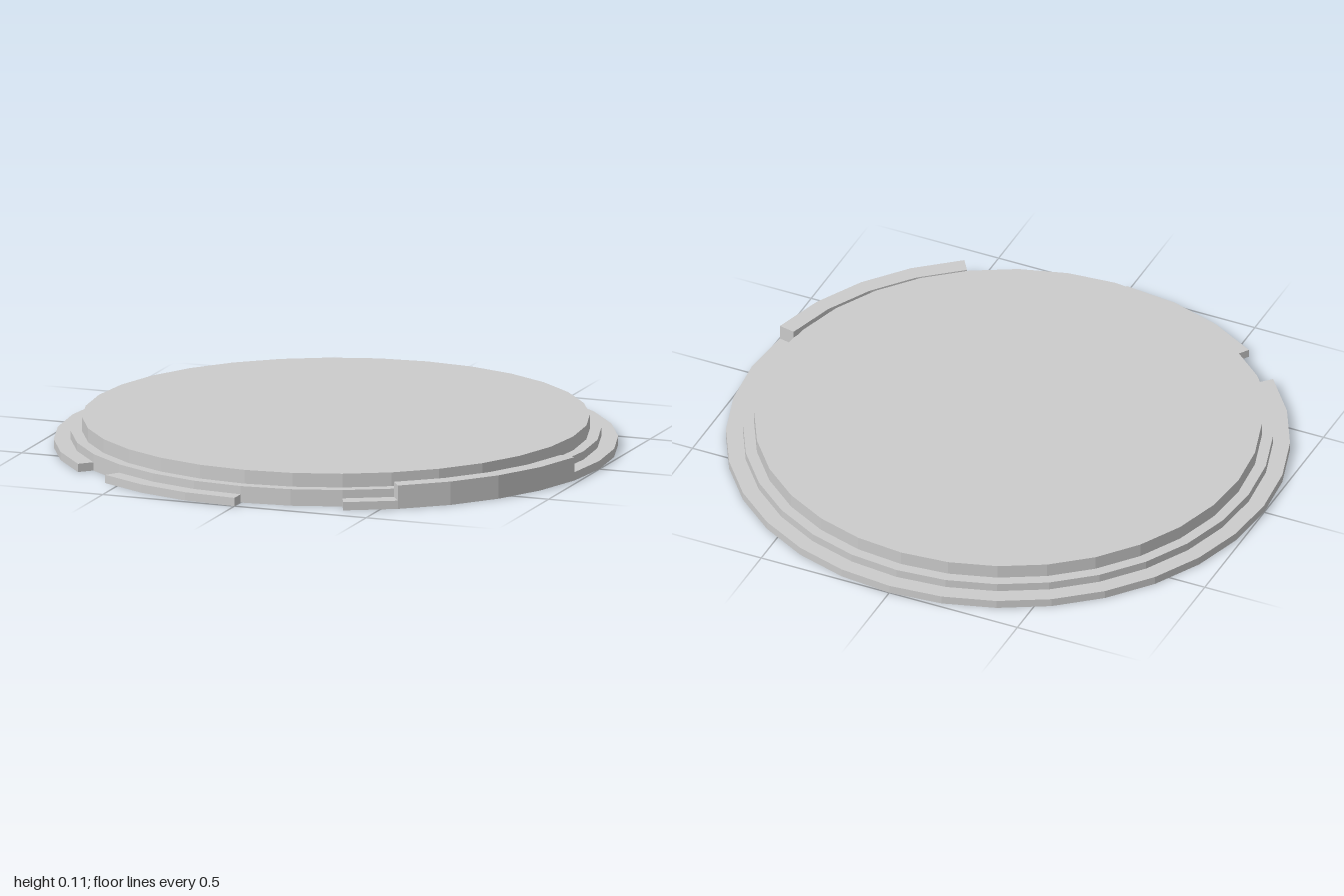
import * as THREE from 'three';

const SIDES = 32;
const STEP = (Math.PI * 2) / SIDES;
const R_TOP = 0.9, R_MID = 0.94, R_OUT = 1;
const Y_TOP = 0.11, Y_MID = 0.06, Y_FLANGE = 0.03, Y_GRIP = 0.085;

export function createModel() {
  const group = new THREE.Group();
  group.name = 'steppedLid';
  const material = new THREE.MeshStandardMaterial({
    color: 0xcccccc, flatShading: true, side: THREE.DoubleSide,
  });

  const add = (name, geometry) => {
    const mesh = new THREE.Mesh(geometry, material);
    mesh.name = name;
    group.add(mesh);
    return mesh;
  };

  // Revolves a sheet profile from facet a to facet b (counted from the front towards +x)
  const sweep = (name, profile, a = 0, b = SIDES) =>
    add(name, new THREE.LatheGeometry(
      profile.map(([r, y]) => new THREE.Vector2(r, y)), b - a, a * STEP, (b - a) * STEP));

  // Upright radial plate closing the end of a rim section
  const endCap = (name, k, y0, y1) => {
    const plate = new THREE.PlaneGeometry(R_OUT - R_MID, y1 - y0);
    plate.translate((R_OUT + R_MID) / 2, (y0 + y1) / 2, 0);
    plate.rotateY(k * STEP - Math.PI / 2);
    add(name, plate);
  };

  // Raised round panel and the first step, open underneath
  sweep('topPanel', [
    [R_MID, Y_FLANGE], [R_MID, Y_MID], [R_TOP, Y_MID], [R_TOP, Y_TOP], [0, Y_TOP],
  ], 7, SIDES + 3);
  sweep('topPanelFront', [
    [R_MID, Y_MID], [R_TOP, Y_MID], [R_TOP, Y_TOP], [0, Y_TOP],
  ], 3, 7);

  // Low flange sections
  for (const [a, b] of [[2, 3], [7, 28], [29, 32]]) {
    sweep('flange', [[R_OUT, 0], [R_OUT, Y_FLANGE], [R_MID, Y_FLANGE]], a, b);
  }

  // Plain skirt where the flange is interrupted
  for (const [a, b] of [[0, 2], [28, 29]]) {
    sweep('notchWall', [[R_MID, 0], [R_MID, Y_FLANGE]], a, b);
  }
  for (const k of [0, 2, 28, 29]) endCap('flangeEnd', k, 0, Y_FLANGE);

  // Taller grip section of the rim
  sweep('grip', [[R_OUT, 0], [R_OUT, Y_GRIP], [R_MID, Y_GRIP], [R_MID, Y_MID]], 3, 7);
  for (const k of [3, 7]) endCap('gripEnd', k, Y_FLANGE, Y_GRIP);

  return group;
}
